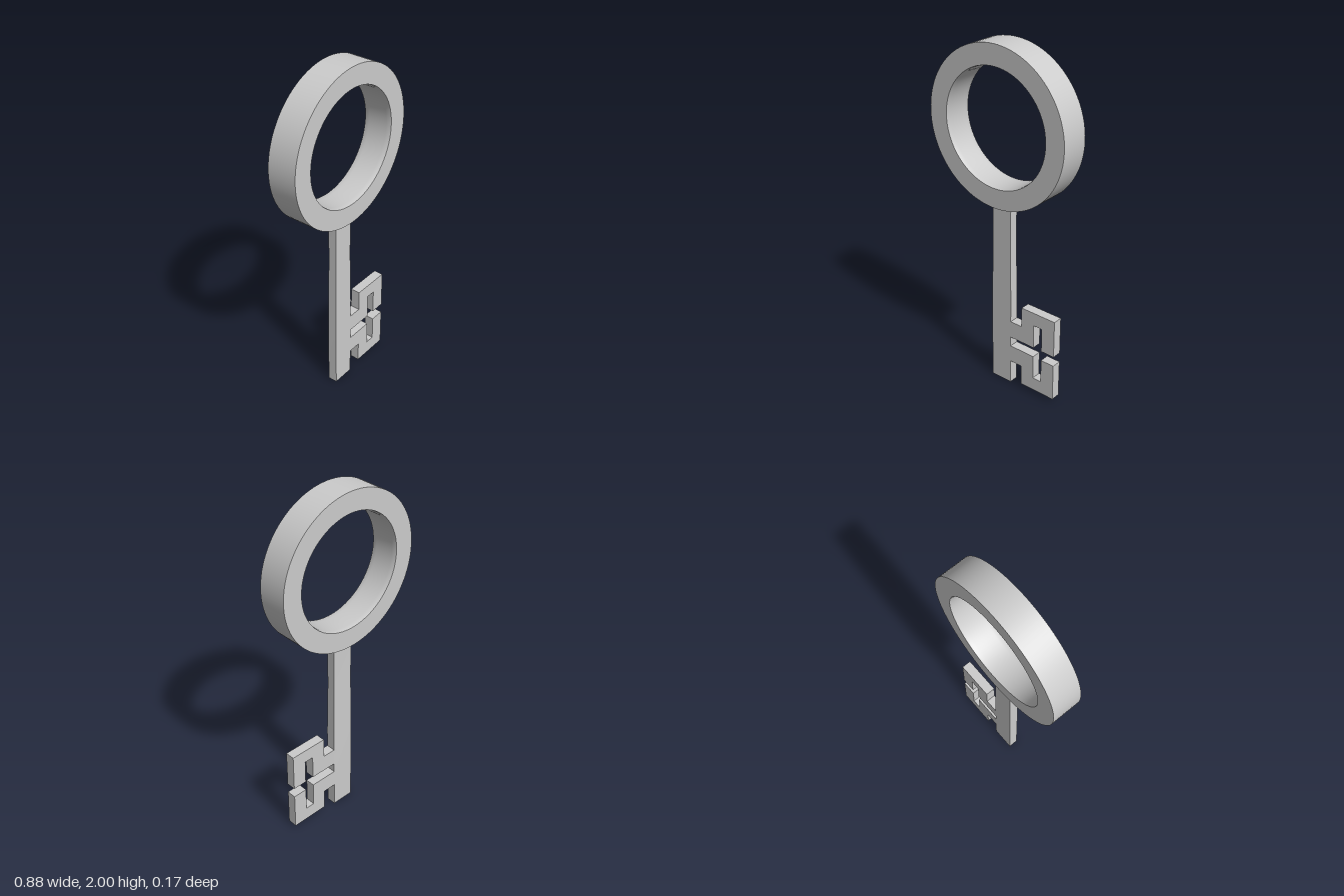
import * as THREE from 'three';
import { toCreasedNormals } from 'three/addons/utils/BufferGeometryUtils.js';

export function createModel() {
  const key = new THREE.Group();
  key.name = 'key';
  const material = new THREE.MeshStandardMaterial({ color: 0xcccccc });
  const add = (name, geometry) => {
    const mesh = new THREE.Mesh(geometry, material);
    mesh.name = name;
    key.add(mesh);
    return mesh;
  };

  // Ring handle: flat band with a slightly eased inner edge
  const half = 0.084;
  const profile = [
    [0.327, -half], [0.44, -half], [0.44, half], [0.327, half],
    [0.324, 0.07], [0.323, 0.055], [0.323, -0.055], [0.324, -0.07], [0.327, -half],
  ].map(([r, h]) => new THREE.Vector2(r, h));
  const ring = toCreasedNormals(new THREE.LatheGeometry(profile, 96), 0.6);
  ring.rotateX(Math.PI / 2).translate(0, 1.56, 0);
  add('ringHandle', ring);

  // Shaft: box narrowing a little above the bit
  const levels = [[0, 0.067, 0.028], [0.53, 0.067, 0.028], [0.85, 0.062, 0.025], [1.235, 0.062, 0.025]];
  const shaft = new THREE.BoxGeometry(2, 3, 2, 1, 3, 1);
  const p = shaft.attributes.position;
  for (let i = 0; i < p.count; i++) {
    const [y, w, d] = levels[Math.round(p.getY(i) + 1.5)];
    p.setXYZ(i, p.getX(i) * w, y, p.getZ(i) * d);
  }
  add('shaft', toCreasedNormals(shaft, 0.5));

  // Bit: two hooked teeth mirrored about the gap between them
  const middle = 0.28, depth = 0.056;
  const outline = [
    [0.05, 0.03], [0.23, 0.03], [0.23, 0.175], [0.285, 0.175], [0.285, 0.03], [0.37, 0.03],
    [0.37, 0.255], [0.145, 0.255], [0.145, 0.133], [0.05, 0.133],
  ];
  for (const [name, side] of [['upperTooth', 1], ['lowerTooth', -1]]) {
    const shape = new THREE.Shape(outline.map(([x, y]) => new THREE.Vector2(x, middle + side * y)));
    const tooth = new THREE.ExtrudeGeometry(shape, { depth, bevelEnabled: false });
    add(name, tooth.translate(0, 0, -depth / 2));
  }
  return key;
}
